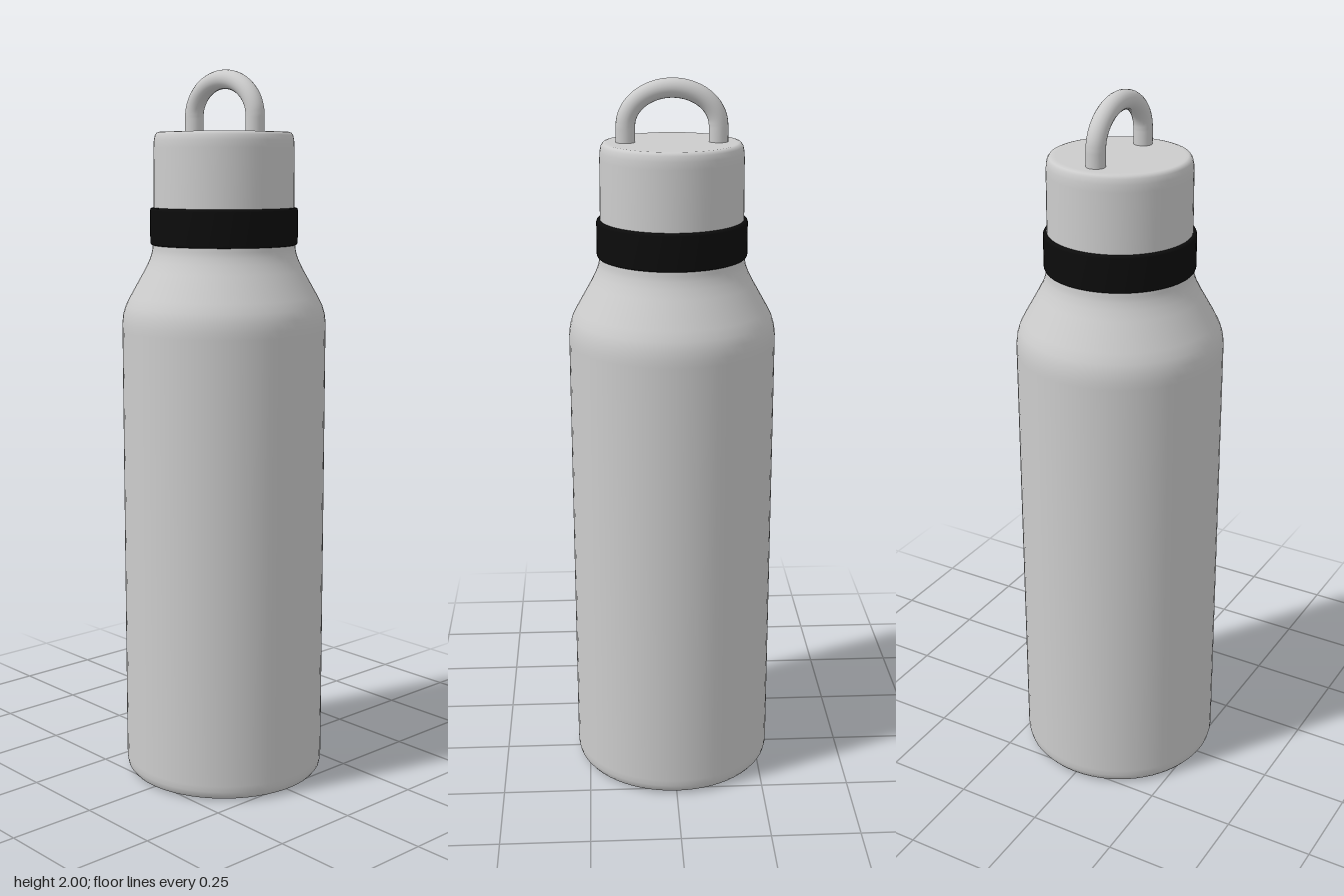
import * as THREE from 'three';

export function createModel() {
  const model = new THREE.Group();
  model.name = 'waterBottle';
  const steel = new THREE.MeshStandardMaterial({ name: 'lightGrey', color: 0xcccccc });
  const rubber = new THREE.MeshStandardMaterial({ name: 'black', color: 0x0c0c0c });

  const add = (name, geometry, material) => {
    const mesh = new THREE.Mesh(geometry, material);
    mesh.name = name;
    model.add(mesh);
    return mesh;
  };
  // Turned part from [radius, height] points, listed bottom to top
  const turned = (name, points, material) =>
    add(name, new THREE.LatheGeometry(points.map(([r, y]) => new THREE.Vector2(r, y)), 64), material);

  // Body with rounded base, sloping shoulder and neck
  turned('body', [
    [0, 0], [0.25, 0], [0.262, 0.001], [0.274, 0.006], [0.281, 0.015], [0.284, 0.028], [0.285, 0.045],
    [0.285, 1.29], [0.285, 1.31], [0.282, 1.335], [0.275, 1.358], [0.262, 1.384],
    [0.222, 1.455], [0.209, 1.481], [0.202, 1.5], [0.199, 1.515], [0.198, 1.54], [0.19, 1.6],
  ], steel);

  // Dark band around the neck
  turned('neckBand', [
    [0.18, 1.525], [0.198, 1.525], [0.203, 1.527], [0.205, 1.532],
    [0.205, 1.621], [0.203, 1.626], [0.198, 1.628], [0.18, 1.628],
  ], rubber);

  // Cap with softened top rim
  turned('cap', [
    [0.195, 1.6], [0.195, 1.63], [0.194, 1.79], [0.193, 1.81], [0.19, 1.824], [0.185, 1.831],
    [0.178, 1.833], [0.17, 1.833], [0, 1.833],
  ], steel);

  // Carry loop: two short legs joined by an arch
  const path = new THREE.CurvePath();
  const legX = 0.124, legTop = 1.874, archHeight = 0.1;
  const v = (x, y) => new THREE.Vector3(x, y, 0);
  const arch = [];
  for (let i = 0; i <= 16; i++) {
    const a = Math.PI * (1 - i / 16);
    arch.push(v(legX * Math.cos(a), legTop + archHeight * Math.sin(a)));
  }
  path.add(new THREE.LineCurve3(v(-legX, 1.82), v(-legX, legTop)));
  path.add(new THREE.CatmullRomCurve3(arch));
  path.add(new THREE.LineCurve3(v(legX, legTop), v(legX, 1.82)));
  add('carryLoop', new THREE.TubeGeometry(path, 64, 0.026, 20, false), steel);

  return model;
}
